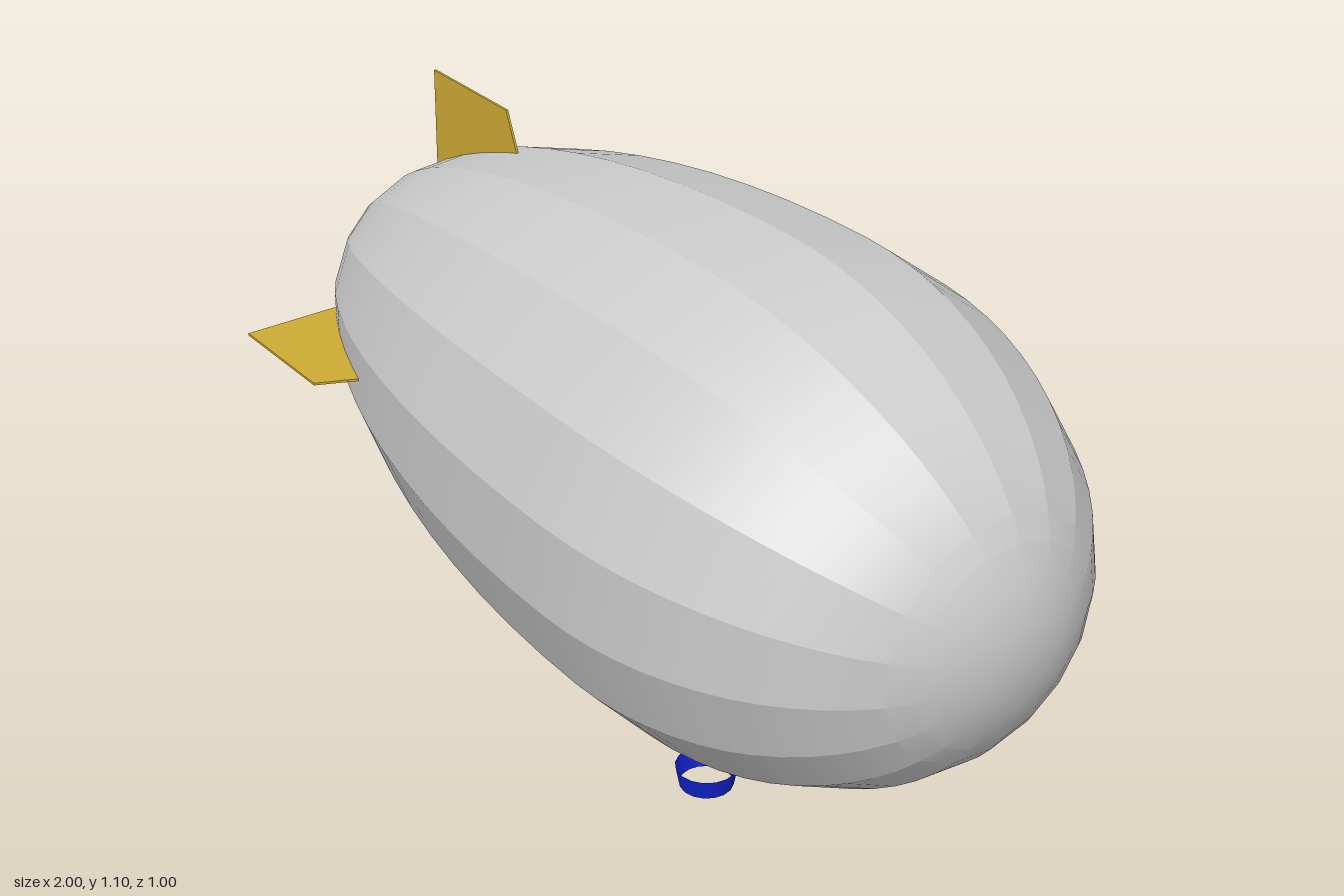
import * as THREE from 'three';
import { toCreasedNormals } from 'three/addons/utils/BufferGeometryUtils.js';

const grey = new THREE.MeshStandardMaterial({ color: 0xcccccc });
const greyThin = new THREE.MeshStandardMaterial({ color: 0xcccccc, side: THREE.DoubleSide });
const gold = new THREE.MeshStandardMaterial({ color: 0xccaa33 });
const blue = new THREE.MeshStandardMaterial({ color: 0x1122cc, side: THREE.DoubleSide });
const black = new THREE.MeshStandardMaterial({ color: 0x151515 });

function add(parent, name, geometry, material, x = 0, y = 0, z = 0) {
  const mesh = new THREE.Mesh(geometry, material);
  mesh.name = name;
  mesh.position.set(x, y, z);
  parent.add(mesh);
  return mesh;
}

// Gas envelope: a long half ellipse at the tail and a short one at the nose
function envelopeGeometry() {
  const radius = 0.502, widest = 0.3, tail = 1.3, nose = 0.7;
  const ring = (deg, length) => {
    const a = THREE.MathUtils.degToRad(deg);
    return new THREE.Vector2(radius * Math.sin(a), widest + length * Math.cos(a));
  };
  const points = [new THREE.Vector2(0, -1)];
  for (let deg = 15; deg < 90; deg += 5) points.push(ring(deg, -tail));
  for (let deg = 90; deg > 8; deg -= 5.125) points.push(ring(deg, nose));
  points.push(ring(8, nose), new THREE.Vector2(0, 1));
  const geometry = new THREE.LatheGeometry(points, 17, Math.PI);
  geometry.rotateZ(-Math.PI / 2);
  return toCreasedNormals(geometry, 0.22);
}

// Tail fin pointing up, optionally pierced for the stern thruster
function finGeometry(pierced) {
  const shape = new THREE.Shape([
    new THREE.Vector2(-0.8, 0.25),
    new THREE.Vector2(-0.5, 0.37),
    new THREE.Vector2(-0.5, 0.39),
    new THREE.Vector2(-0.535, 0.47),
    new THREE.Vector2(-0.8, 0.47),
  ]);
  if (pierced) {
    shape.holes.push(new THREE.Path().absarc(-0.655, 0.41, 0.056, 0, Math.PI * 2, true));
  }
  const geometry = new THREE.ExtrudeGeometry(shape, { depth: 0.005, bevelEnabled: false, curveSegments: 20 });
  return geometry.translate(0, 0, -0.0025);
}

// Gondola: a tapered cylinder pulled apart into a capsule outline
function gondolaGeometry() {
  const geometry = new THREE.CylinderGeometry(0.046, 0.026, 0.096, 16, 1, false, Math.PI / 16);
  const p = geometry.attributes.position;
  for (let i = 0; i < p.count; i++) {
    const x = p.getX(i);
    if (Math.abs(x) > 1e-4) p.setX(i, x + Math.sign(x) * 0.06);
  }
  return toCreasedNormals(geometry, 0.6);
}

export function createModel() {
  const model = new THREE.Group();
  model.name = 'airship';

  // Envelope and fins share a slightly tilted axis
  const hull = new THREE.Group();
  hull.name = 'hull';
  hull.position.set(0, 0.606, -0.003);
  hull.rotation.set(0, -0.022, -0.018);
  model.add(hull);
  add(hull, 'envelope', envelopeGeometry(), grey);

  ['topFin', 'leftFin', 'bottomFin', 'rightFin'].forEach((name, i) => {
    const fin = new THREE.Group();
    fin.name = name;
    fin.rotation.x = i * Math.PI / 2;
    hull.add(fin);
    const pierced = name === 'bottomFin';
    add(fin, 'finPanel', finGeometry(pierced), gold);
    if (pierced) {
      const duct = new THREE.CylinderGeometry(0.056, 0.056, 0.05, 20, 1, true).rotateX(Math.PI / 2);
      add(fin, 'sternThrusterRing', duct, greyThin, -0.655, 0.41, 0);
    }
  });

  // Gondola with a cross shaft carrying two ducted rings
  add(model, 'gondola', gondolaGeometry(), grey, 0.345, 0.051, 0.005);
  const shaft = new THREE.CylinderGeometry(0.006, 0.006, 0.18, 8).rotateX(Math.PI / 2);
  add(model, 'thrusterShaft', shaft, black, 0.315, 0.028, 0.005);
  for (const side of [-1, 1]) {
    const duct = new THREE.CylinderGeometry(0.061, 0.053, 0.042, 16, 1, true);
    add(model, side > 0 ? 'frontThrusterRing' : 'rearThrusterRing', duct, blue, 0.313, 0.023, 0.005 + side * 0.139);
  }
  return model;
}
